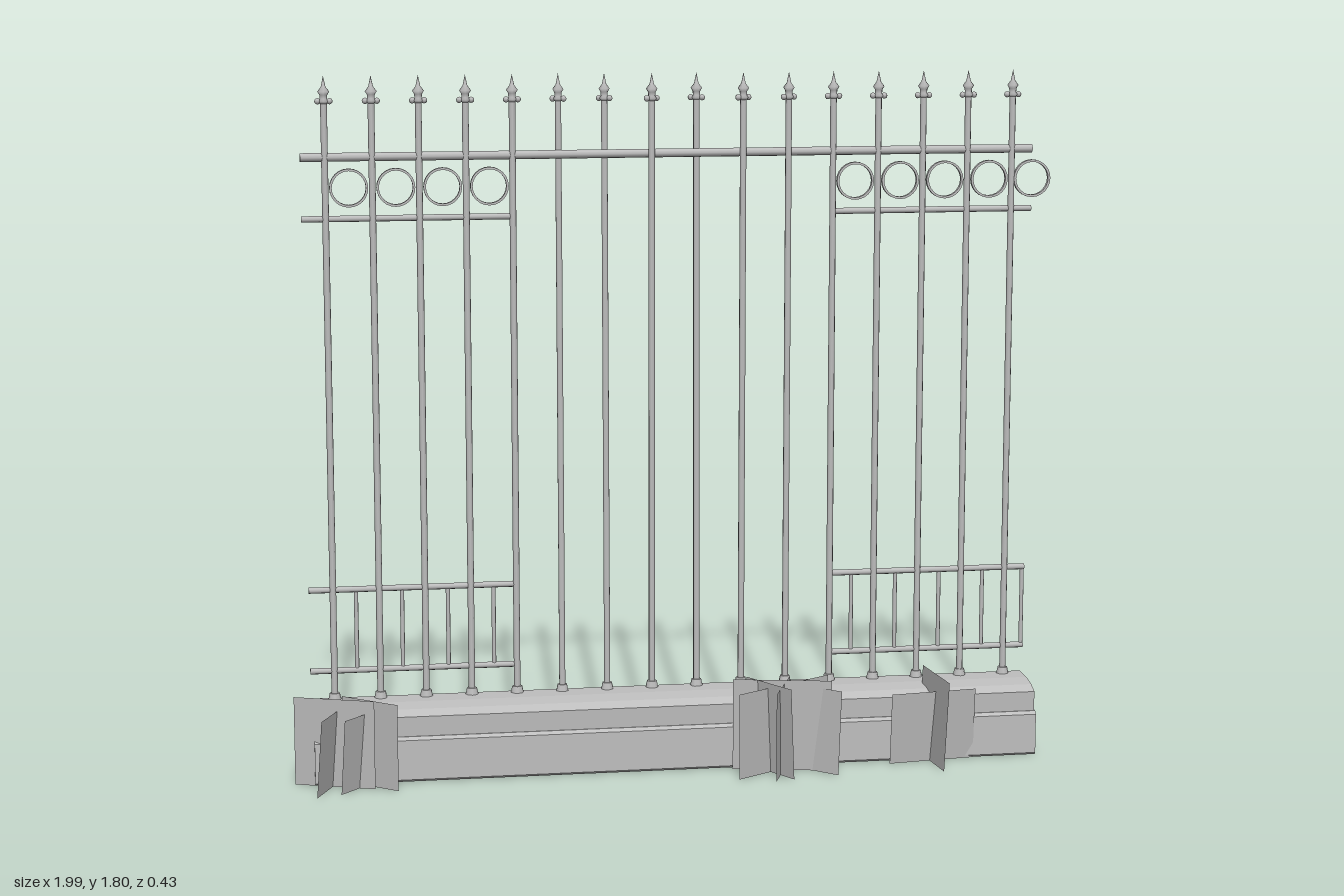
import * as THREE from 'three';

export function createModel() {
  const model = new THREE.Group();
  model.name = 'railingFence';
  const grey = new THREE.MeshStandardMaterial({ color: 0xbebebe });
  grey.name = 'plain grey';
  const leafGrey = new THREE.MeshStandardMaterial({ color: 0xb8b8b8, side: THREE.DoubleSide });
  leafGrey.name = 'card grey';

  const Z = -0.075, STEP = 0.1187;

  function add(name, geometry, x, y, z, parent = model) {
    const mesh = new THREE.Mesh(geometry, grey);
    mesh.name = name;
    mesh.position.set(x, y, z);
    parent.add(mesh);
    return mesh;
  }

  // Stone plinth: (z, y) sections extruded along x
  function plinth(name, section, x0, x1) {
    const shape = new THREE.Shape(section.map(([z, y]) => new THREE.Vector2(-z, y)));
    const geometry = new THREE.ExtrudeGeometry(shape, { depth: x1 - x0, bevelEnabled: false });
    geometry.rotateY(Math.PI / 2);
    add(name, geometry, x0, 0, 0);
  }
  plinth('plinthBlock', [[0.064, 0], [0.07, 0.006], [0.07, 0.11], [0.062, 0.118],
    [-0.208, 0.118], [-0.216, 0.11], [-0.216, 0.006], [-0.21, 0]], -0.95, 0.945);
  plinth('plinthCap', [[0.06, 0.115], [0.062, 0.17], [0.03, 0.182], [-0.02, 0.189],
    [-0.09, 0.189], [-0.14, 0.172], [-0.2, 0.142], [-0.205, 0.115]], -0.947, 0.942);

  // Tall posts with foot collars and spear tips; the middle ones lean a little
  const shaft = new THREE.CylinderGeometry(0.0085, 0.0085, 1.545, 8);
  const foot = new THREE.CylinderGeometry(0.013, 0.017, 0.018, 8);
  const tip = new THREE.LatheGeometry([[0, 0], [0.009, 0], [0.013, 0.006], [0.009, 0.012], [0.01, 0.022],
    [0.015, 0.03], [0.006, 0.042], [0, 0.07]].map(([r, y]) => new THREE.Vector2(r, y)), 8);
  const knob = new THREE.SphereGeometry(0.008, 8, 6);
  const lean = [-0.012, -0.014, 0.011, -0.01, 0.009, 0.008];
  for (let i = 0; i < 16; i++) {
    const post = new THREE.Group();
    post.name = 'post';
    post.position.set((i - 7.5) * STEP, 0.185, Z);
    model.add(post);
    add('postShaft', shaft, 0, 0.7725, 0, post);
    add('postFoot', foot, 0, 0.012, 0, post);
    add('spearTip', tip, 0, 1.543, 0, post);
    for (const s of [-1, 1]) add('tipScroll', knob, s * 0.015, 1.549, 0, post);
    if (i > 4 && i < 11) {
      post.rotation.x = lean[i - 5] / 1.5;
      post.rotation.y = lean[i - 5] * 40;
    }
  }

  // Horizontal rails
  function rail(name, x0, x1, y, r) {
    const bar = add(name, new THREE.CylinderGeometry(r, r, x1 - x0, 8), (x0 + x1) / 2, y, Z - 0.004);
    bar.rotation.z = Math.PI / 2;
  }
  rail('topRail', -0.952, 0.945, 1.593, 0.011);
  for (const y of [1.437, 0.478, 0.264]) {
    rail('sideRail', -0.952, -0.415, y, 0.008);
    rail('sideRail', 0.415, 0.945, y, 0.008);
  }

  // Flat rings and short pickets between the outer posts
  const circle = new THREE.Shape().absarc(0, 0, 0.049, 0, Math.PI * 2);
  circle.holes.push(new THREE.Path().absarc(0, 0, 0.043, 0, Math.PI * 2, true));
  const ring = new THREE.ExtrudeGeometry(circle, { depth: 0.012, bevelEnabled: false, curveSegments: 12 });
  const picket = new THREE.CylinderGeometry(0.0055, 0.0055, 0.214, 8);
  for (const k of [-7, -6, -5, -4, 4, 5, 6, 7, 8]) {
    add('ring', ring, k * STEP - (k === 8 ? 0.004 : 0), 1.515, Z - 0.008);
    add('shortPicket', picket, k === 8 ? 0.94 : k * STEP, 0.371, Z - 0.004);
  }

  // Crossed plant cards: x0, z0, x1, z1, height, sideways lean of the top edge
  const cards = [
    [-1, 0.045, -0.8, 0.12, 0.23, 0],
    [-0.95, 0.18, -0.893, 0.05, 0.2, 0.015],
    [-0.888, 0.158, -0.775, 0.035, 0.195, 0.015],
    [-0.877, 0.035, -0.743, 0.147, 0.225, 0],
    [0.13, 0.18, 0.395, 0.013, 0.225, 0],
    [0.13, 0.08, 0.38, 0.135, 0.24, 0],
    [0.18, 0.05, 0.27, 0.2, 0.24, 0.012],
    [0.245, 0.04, 0.39, 0.18, 0.22, -0.014],
    [0.22, 0.215, 0.29, 0.03, 0.23, 0],
    [0.545, 0.095, 0.775, 0.067, 0.19, 0.014],
    [0.645, -0.01, 0.668, 0.19, 0.235, -0.012],
  ];
  for (const [x0, z0, x1, z1, h, tilt] of cards) {
    const length = Math.hypot(x1 - x0, z1 - z0);
    const geometry = new THREE.PlaneGeometry(length, h);
    geometry.translate(0, h / 2, 0);
    geometry.rotateX(tilt / h);
    const card = add('plantCard', geometry, (x0 + x1) / 2, 0, (z0 + z1) / 2);
    card.rotation.y = -Math.atan2(z1 - z0, x1 - x0);
    card.material = leafGrey;
  }
  return model;
}
